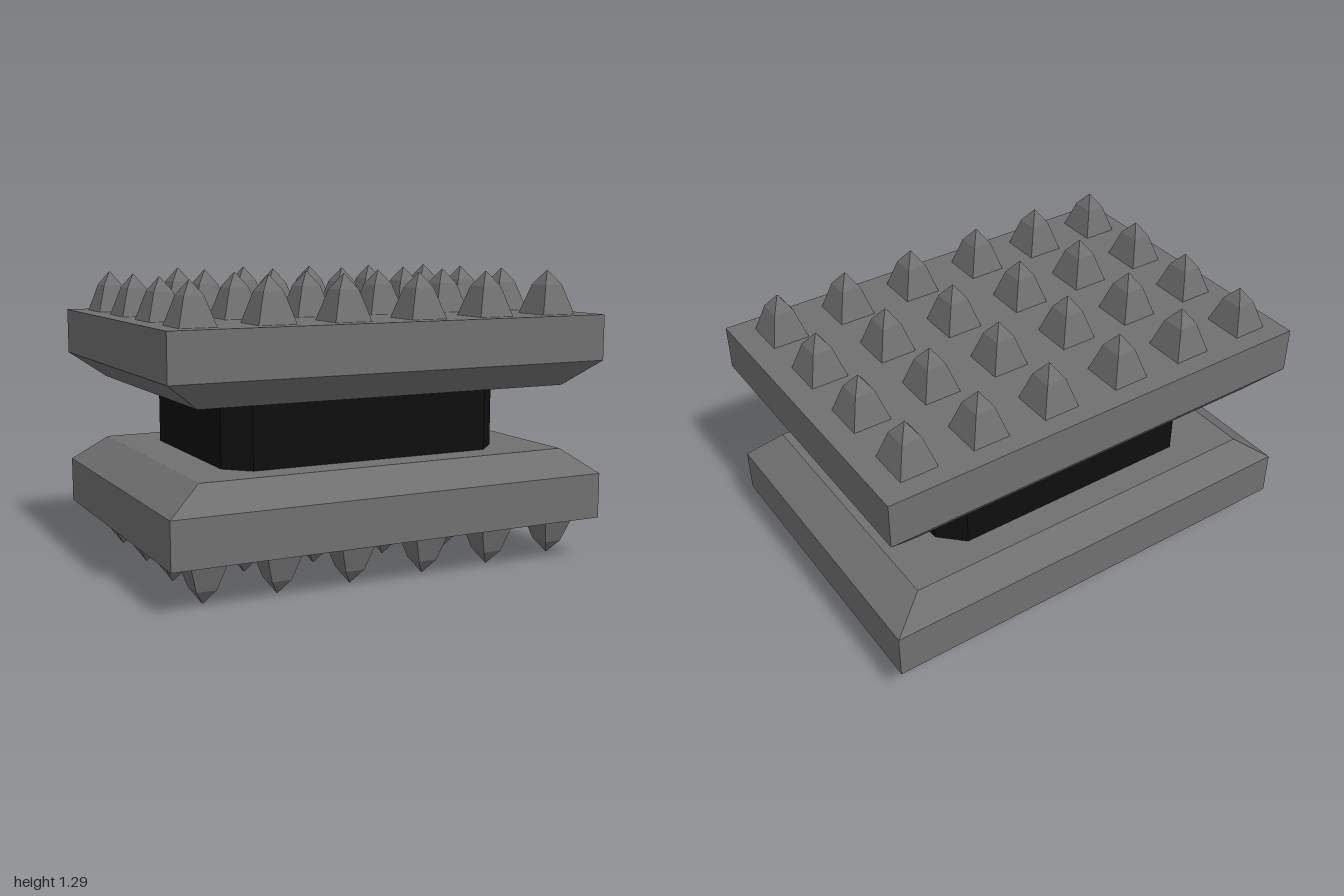
import * as THREE from 'three';

// Solid with stacked rectangular sections, listed bottom to top as [y, halfX, halfZ]
function loftRect(sections) {
  const pos = [];
  const ring = ([y, a, b]) => [[-a, y, b], [a, y, b], [a, y, -b], [-a, y, -b]];
  const quad = (a, b, c, d) => pos.push(...a, ...b, ...c, ...a, ...c, ...d);
  const rings = sections.map(ring);
  for (let i = 0; i < rings.length - 1; i++) {
    for (let k = 0; k < 4; k++) {
      const n = (k + 1) % 4;
      quad(rings[i][k], rings[i][n], rings[i + 1][n], rings[i + 1][k]);
    }
  }
  const [p, q, r, s] = rings[0];
  quad(s, r, q, p);
  quad(...rings[rings.length - 1]);
  const geo = new THREE.BufferGeometry();
  geo.setAttribute('position', new THREE.Float32BufferAttribute(pos, 3));
  geo.computeVertexNormals();
  return geo;
}

export function createModel() {
  const model = new THREE.Group();
  model.name = 'spikedPedal';
  const grey = new THREE.MeshStandardMaterial({ color: 0x707070, flatShading: true });
  grey.name = 'grey';
  const black = new THREE.MeshStandardMaterial({ color: 0x0e0e0e, flatShading: true });
  black.name = 'black';

  const midY = 0.643;
  const plateGeo = loftRect([[0.142, 0.85, 0.605], [0.252, 1, 0.7], [0.452, 1, 0.7]]);
  const spikeGeo = loftRect([[0, 0.082, 0.092], [0.128, 0.043, 0.05], [0.191, 0.001, 0.001]]);
  const columns = [-0.847, -0.52, -0.19, 0.16, 0.492, 0.814];
  const rows = [-0.52, -0.17, 0.18, 0.53];

  // One plate with its grid of spikes, heights measured from the middle
  function makeHalf(name) {
    const half = new THREE.Group();
    half.name = name;
    const plate = new THREE.Mesh(plateGeo, grey);
    plate.name = 'bevelledPlate';
    half.add(plate);
    columns.forEach((x, i) => {
      for (const z of rows) {
        const spike = new THREE.Mesh(spikeGeo, grey);
        spike.name = 'spike';
        spike.position.set(x, 0.452, z);
        if (i === 0) spike.scale.set(0.94, 0.93, 1); // first column is a little smaller
        half.add(spike);
      }
    });
    half.position.y = midY;
    return half;
  }

  const top = makeHalf('topHalf');
  const bottom = makeHalf('bottomHalf');
  bottom.rotation.z = Math.PI;
  model.add(top, bottom);

  // Core block with chamfered corners, set slightly off centre
  const a = 0.65, b = 0.48, c = 0.1;
  const outline = new THREE.Shape([
    [a - c, -b], [a, c - b], [a, b - c], [a - c, b],
    [c - a, b], [-a, b - c], [-a, c - b], [c - a, -b],
  ].map(([x, y]) => new THREE.Vector2(x, y)));
  const coreGeo = new THREE.ExtrudeGeometry(outline, { depth: 0.3, bevelEnabled: false });
  coreGeo.rotateX(-Math.PI / 2);
  const core = new THREE.Mesh(coreGeo, black);
  core.name = 'core';
  core.position.set(-0.02, midY - 0.15, 0);
  model.add(core);

  return model;
}
